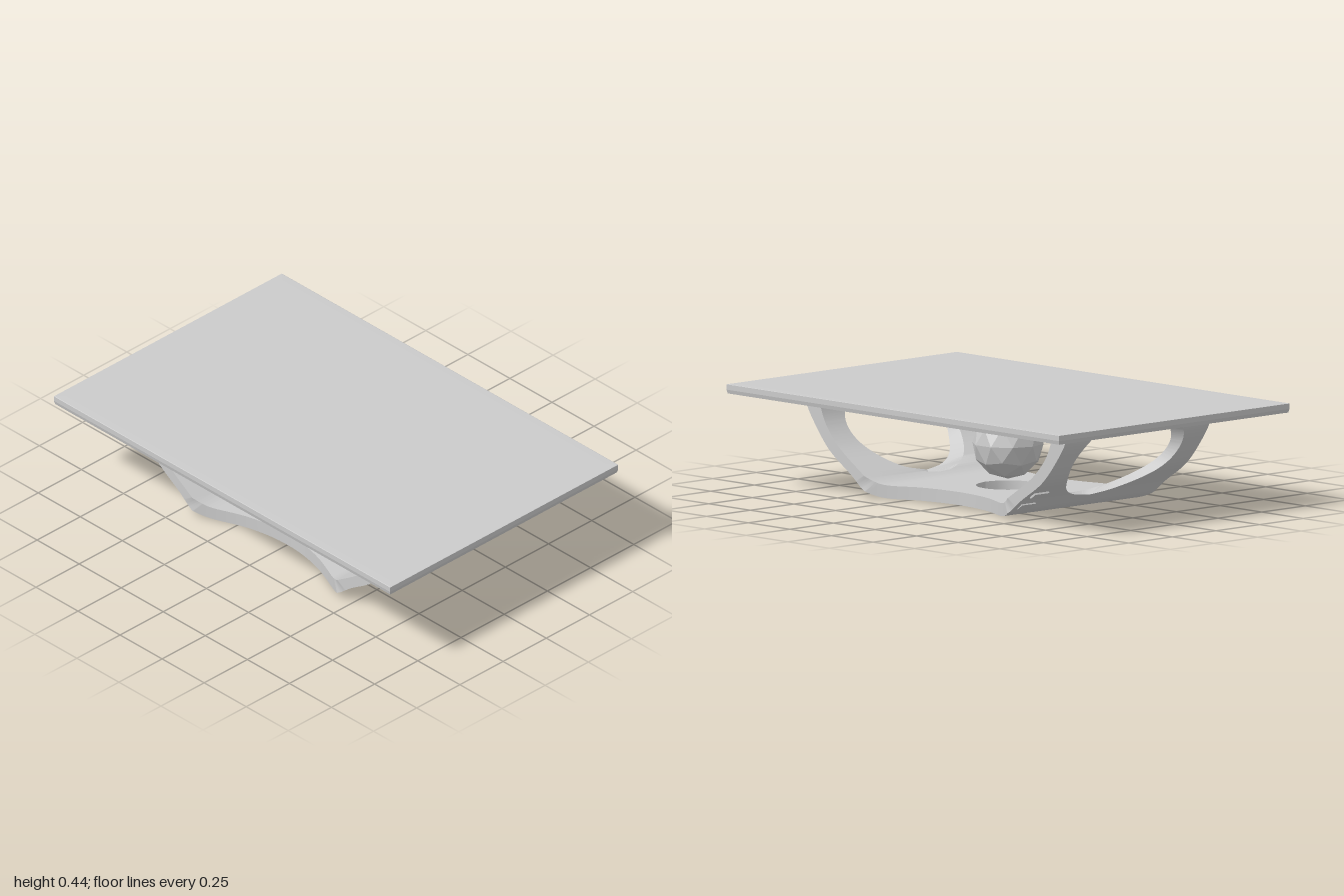
import * as THREE from 'three';
import { toCreasedNormals } from 'three/addons/utils/BufferGeometryUtils.js';

const mat = new THREE.MeshStandardMaterial({ color: 0xcccccc });
const flatMat = new THREE.MeshStandardMaterial({ color: 0xcccccc, flatShading: true });

// Skins a row of four-cornered sections; keep(i, k) can drop a face, flip reverses winding
function skin(sections, flip = false, keep = () => true) {
  const pos = [];
  const tri = (a, b, c) => pos.push(...a, ...(flip ? c : b), ...(flip ? b : c));
  for (let i = 0; i < sections.length - 1; i++) {
    for (let k = 0; k < 4; k++) {
      if (!keep(i, k)) continue;
      const n = (k + 1) % 4, s = sections[i], e = sections[i + 1];
      tri(s[k], e[k], e[n]);
      tri(s[k], e[n], s[n]);
    }
  }
  const geo = new THREE.BufferGeometry();
  geo.setAttribute('position', new THREE.Float32BufferAttribute(pos, 3));
  return toCreasedNormals(geo, 0.6);
}

// Half profiles of the bent base, as z, y
const curve = (pts) => new THREE.CatmullRomCurve3(pts.map(([z, y]) => new THREE.Vector3(0, y, z)));
const outer = curve([[0, 0], [0.2, 0], [0.36, 0.002], [0.43, 0.025], [0.51, 0.085], [0.64, 0.175], [0.73, 0.28], [0.775, 0.35], [0.79, 0.402]]);
const inner = curve([[0, 0.055], [0.2, 0.055], [0.35, 0.055], [0.39, 0.066], [0.46, 0.108], [0.59, 0.2], [0.66, 0.28], [0.69, 0.345], [0.7, 0.402]]);

// Outer edge: straight at the ends, curved in at the waist
const edgeX = (p) => 0.413 - 0.13 * Math.max(0, 1 - (p.z / 0.43) ** 2);

// Half width of the round floor hole and the oval end openings
function holeX(p) {
  if (Math.abs(p.z) < 0.2) return Math.sqrt(Math.max(0, 0.133 ** 2 - p.z ** 2));
  return 0.3 * Math.sqrt(Math.max(0, 1 - ((p.y - 0.26) / 0.19) ** 2));
}

function baseHalf(side) {
  const N = 120, sections = [];
  for (let i = -N; i <= N; i++) {
    const t = Math.abs(i) / N;
    const hi = inner.getPoint(t), lo = outer.getPoint(t);
    if (i < 0) { hi.z *= -1; lo.z *= -1; }
    const at = (x, p) => [side * x, p.y, p.z];
    sections.push([at(holeX(hi), hi), at(edgeX(hi), hi), at(edgeX(lo), lo), at(holeX(lo), lo)]);
  }
  // No wall on the centre line where there is no opening
  const open = (s) => Math.abs(s[0][0]) + Math.abs(s[3][0]) > 1e-6;
  return skin(sections, side < 0, (i, k) => k < 3 || open(sections[i]) || open(sections[i + 1]));
}

// Table top: rectangular rings stacked from the underside up
function tabletop() {
  const rings = [[0, 0.398], [0.625, 0.398], [0.656, 0.399], [0.66, 0.415], [0.66, 0.437], [0.657, 0.438], [0.625, 0.439], [0, 0.439]];
  const sections = rings.map(([x, y]) => {
    const z = x ? x + 0.34 : 0;
    return [[-x, y, z], [x, y, z], [x, y, -z], [-x, y, -z]];
  });
  return skin(sections, true);
}

export function createModel() {
  const group = new THREE.Group();
  const add = (name, geo, material = mat) => {
    const mesh = new THREE.Mesh(geo, material);
    mesh.name = name;
    group.add(mesh);
    return mesh;
  };

  add('tabletop', tabletop(), flatMat);
  add('baseLeft', baseHalf(1));
  add('baseRight', baseHalf(-1));

  // Faceted ball under the top, one vertex pointing up
  const ball = new THREE.IcosahedronGeometry(0.15, 1);
  ball.rotateZ(-Math.atan(2 / (1 + Math.sqrt(5))));
  add('ball', ball, flatMat).position.y = 0.232;

  // Two small tabs on the back wall
  [[0.111, -0.55], [0.058, -0.47]].forEach(([y, z], i) => {
    const tab = add('tab' + (i + 1), new THREE.BoxGeometry(0.08, 0.016, 0.035), flatMat);
    tab.position.set(0.345, y, z);
    tab.rotation.x = 0.6;
  });
  return group;
}
